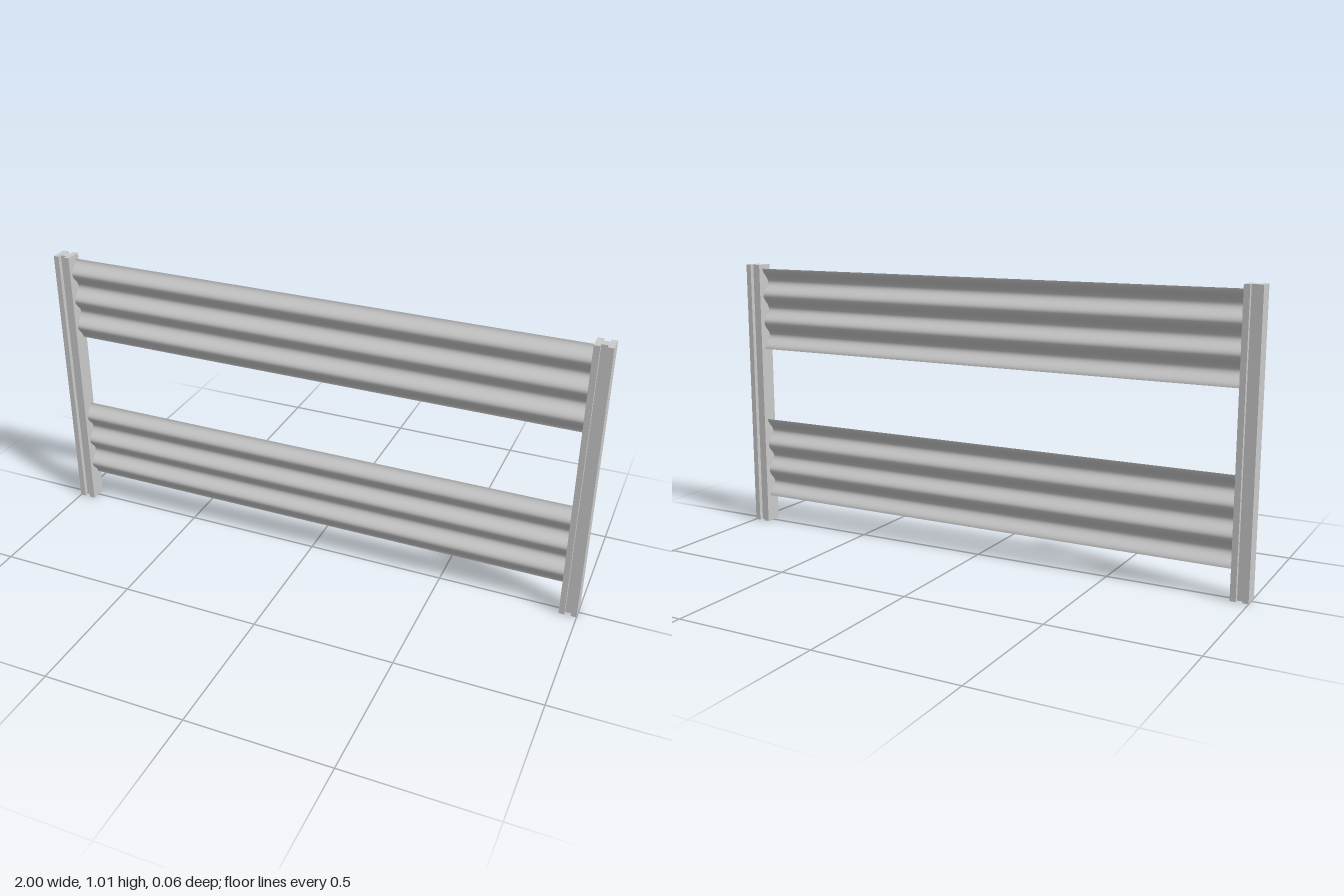
import * as THREE from 'three';

const HEIGHT = 1.015;
const HALF = 0.031; // half the post's width and depth

const steel = new THREE.MeshStandardMaterial({ color: 0xcccccc });
const sheet = new THREE.MeshStandardMaterial({ color: 0xcccccc, side: THREE.DoubleSide });

// H-section post: two flanges joined by a web, extruded upwards
function makePost() {
  const inner = 0.011, web = 0.015;
  const outline = [
    [-HALF, -HALF], [-inner, -HALF], [-inner, -web], [inner, -web],
    [inner, -HALF], [HALF, -HALF], [HALF, HALF], [inner, HALF],
    [inner, web], [-inner, web], [-inner, HALF], [-HALF, HALF],
  ].map(([x, y]) => new THREE.Vector2(x, y));
  const geometry = new THREE.ExtrudeGeometry(new THREE.Shape(outline), { depth: HEIGHT, bevelEnabled: false });
  geometry.rotateX(-Math.PI / 2);
  return geometry;
}

// Thin sheet with three smooth horizontal waves
function makeRail(length, height) {
  const geometry = new THREE.PlaneGeometry(length, height, 1, 60);
  const position = geometry.attributes.position;
  for (let i = 0; i < position.count; i++) {
    const t = (height / 2 - position.getY(i)) / height;
    position.setZ(i, 0.003 - 0.015 * Math.cos(t * 3 * 2 * Math.PI));
  }
  geometry.computeVertexNormals();
  return geometry;
}

export function createModel() {
  const model = new THREE.Group();
  model.name = 'guardRail';

  // Posts at both ends
  const postGeometry = makePost();
  for (const [name, side] of [['leftPost', 1], ['rightPost', -1]]) {
    const post = new THREE.Mesh(postGeometry, steel);
    post.name = name;
    post.position.x = side * (1 - HALF);
    model.add(post);
  }

  // Corrugated rails spanning the posts
  const railGeometry = makeRail(2 * (1 - 2 * HALF), 0.31);
  for (const [name, y] of [['lowerRail', 0.257], ['upperRail', 0.845]]) {
    const rail = new THREE.Mesh(railGeometry, sheet);
    rail.name = name;
    rail.position.y = y;
    model.add(rail);
  }

  return model;
}
